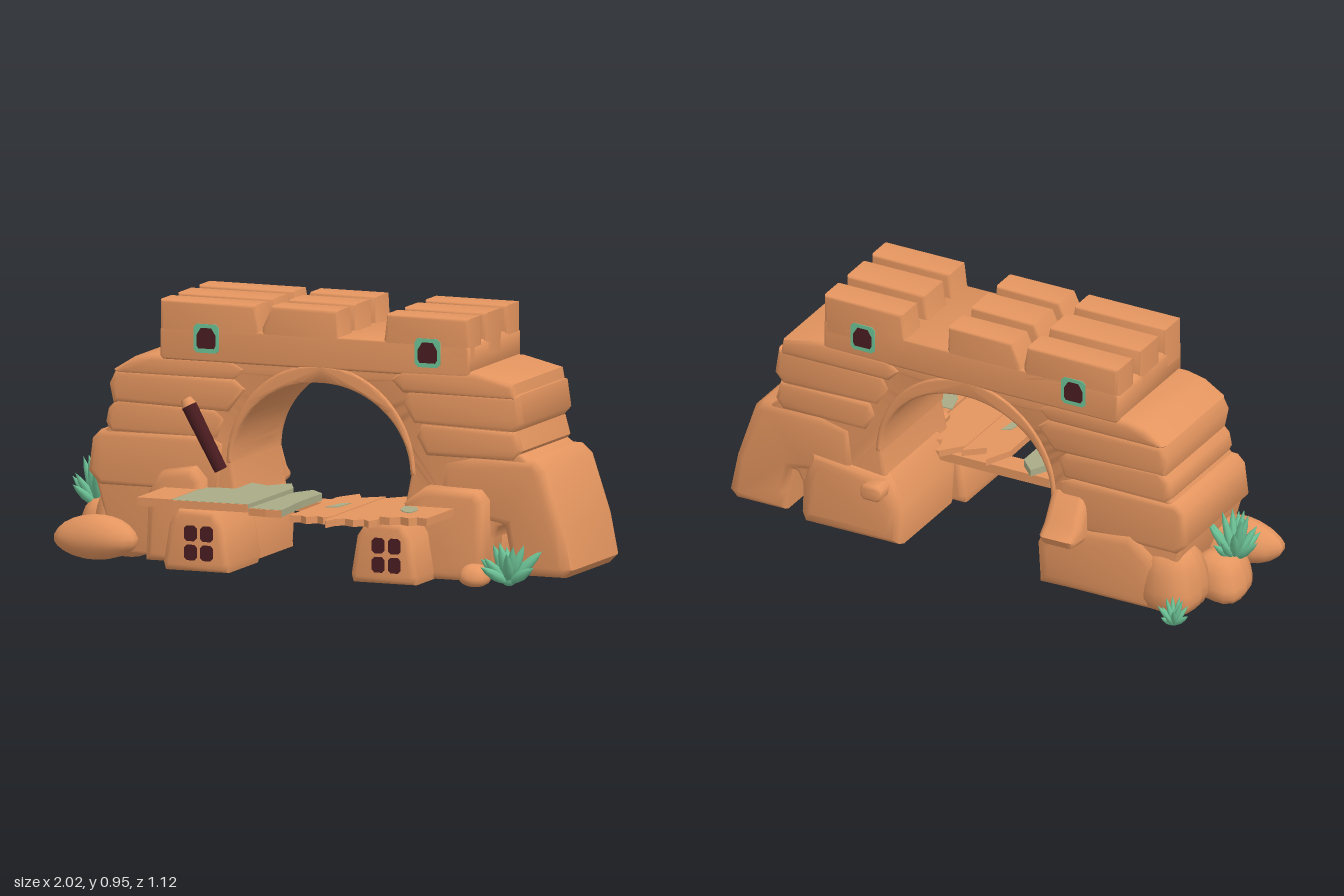
import * as THREE from 'three';
import { toCreasedNormals } from 'three/addons/utils/BufferGeometryUtils.js';

const material = (name, color) => {
  const m = new THREE.MeshStandardMaterial({ color });
  m.name = name;
  return m;
};

export function createModel() {
  const model = new THREE.Group();
  model.name = 'ruinedArch';
  const sandstone = material('sandstone', 0xe4955f);
  const dark = material('darkMaroon', 0x4a1c20);
  const leaf = material('leafGreen', 0x6cc296);
  const cloth = material('paleGreen', 0xa9aa86);

  const add = (name, geometry, mat, parent = model) => {
    const mesh = new THREE.Mesh(geometry, mat);
    mesh.name = name;
    parent.add(mesh);
    return mesh;
  };
  const shapeOf = (pts) => new THREE.Shape(pts.map(([x, y]) => new THREE.Vector2(x, y)));

  // Softly bevelled block cut from a front outline, between two depths
  const slab = (name, outline, z0, z1, bevel = 0.02, mat = sandstone) => {
    const shape = outline instanceof THREE.Shape ? outline : shapeOf(outline);
    const geo = new THREE.ExtrudeGeometry(shape, {
      depth: z1 - z0 - 2 * bevel, bevelEnabled: bevel > 0, bevelThickness: bevel,
      bevelSize: bevel, bevelOffset: -bevel, bevelSegments: 3, curveSegments: 28,
    });
    geo.translate(0, 0, z0 + bevel);
    return add(name, toCreasedNormals(geo, 0.9), mat);
  };
  const rect = (x0, x1, y0, y1, c = 0.012) => [
    [x0 + c, y0], [x1 - c, y0], [x1, y0 + c], [x1, y1 - c],
    [x1 - c, y1], [x0 + c, y1], [x0, y1 - c], [x0, y0 + c],
  ];

  // Arch body, open to the ground
  const cx = 0.035, cy = 0.36;
  const body = new THREE.Shape();
  body.moveTo(-0.26, 0);
  body.lineTo(-0.29, 0.24);
  body.lineTo(cx - 0.345, cy);
  body.absellipse(cx, cy, 0.345, 0.31, Math.PI, 0, true);
  [[0.355, 0.24], [0.32, 0], [0.67, 0.01], [0.7, 0.04], [0.7, 0.15], [0.72, 0.19], [0.78, 0.22],
    [0.84, 0.43], [0.77, 0.48], [0.77, 0.7], [0.6, 0.73], [0.59, 0.82], [-0.57, 0.82], [-0.58, 0.71],
    [-0.68, 0.7], [-0.76, 0.64], [-0.77, 0.48], [-0.83, 0.42], [-0.84, 0.28], [-0.79, 0.1],
    [-0.74, 0.01]].forEach(([x, y]) => body.lineTo(x, y));
  slab('archBody', body, -0.363, 0.093, 0.014);

  // Raised rim around the opening, thinning out towards its feet
  const rim = new THREE.Shape();
  rim.absellipse(cx, cy, 0.365, 0.375, 0, Math.PI, false);
  rim.lineTo(cx - 0.345, cy);
  rim.absellipse(cx, cy, 0.345, 0.31, Math.PI, 0, true);
  slab('archRim', rim, -0.37, 0.1, 0.009);

  // Weathered stone courses of the two pillars
  const courses = [
    [[-0.82, 0.25], [-0.36, 0.25], [-0.34, 0.43], [-0.4, 0.455], [-0.82, 0.45], [-0.85, 0.42], [-0.865, 0.3]],
    [[-0.78, 0.44], [-0.36, 0.44], [-0.33, 0.52], [-0.37, 0.555], [-0.75, 0.57], [-0.79, 0.53], [-0.8, 0.48]],
    [[-0.77, 0.55], [-0.32, 0.54], [-0.25, 0.63], [-0.3, 0.67], [-0.76, 0.67], [-0.785, 0.62]],
    [[-0.75, 0.65], [-0.3, 0.65], [-0.25, 0.7], [-0.32, 0.74], [-0.62, 0.735], [-0.69, 0.72], [-0.77, 0.67]],
    [[0.44, 0.43], [0.78, 0.43], [0.81, 0.47], [0.79, 0.54], [0.42, 0.55], [0.4, 0.5]],
    [[0.39, 0.54], [0.78, 0.53], [0.815, 0.57], [0.8, 0.67], [0.37, 0.67], [0.34, 0.62]],
    [[0.35, 0.65], [0.79, 0.65], [0.78, 0.71], [0.63, 0.745], [0.35, 0.74], [0.3, 0.7]],
  ];
  courses.forEach((c, i) => slab('stoneCourse' + (i + 1), c, -0.372 + (i % 2) * 0.004, 0.102 - (i % 2) * 0.004, 0.022));
  slab('outerBoulder', [[0.77, 0.02], [0.97, 0.02], [1, 0.05], [0.97, 0.2], [0.9, 0.41], [0.86, 0.445],
    [0.62, 0.45], [0.5, 0.42], [0.48, 0.24], [0.68, 0.2], [0.74, 0.19], [0.757, 0.1]], -0.37, 0.1, 0.035);

  // Battlements: a solid band with three by three teeth
  slab('battlementBand', rect(-0.585, 0.61, 0.72, 0.84), -0.37, 0.1, 0.008);
  const teeth = [
    [[-0.585, 0.78], [-0.2, 0.78], [-0.2, 0.86], [-0.215, 0.935], [-0.585, 0.935]],
    [[-0.2, 0.78], [0.13, 0.78], [0.11, 0.84], [0.105, 0.935], [-0.155, 0.935], [-0.19, 0.86]],
    [[0.26, 0.78], [0.61, 0.78], [0.61, 0.935], [0.29, 0.935], [0.28, 0.85]],
  ];
  for (const tooth of teeth)
    for (const [z0, z1] of [[-0.018, 0.1], [-0.203, -0.06], [-0.37, -0.25]])
      slab('battlementTooth', tooth, z0, z1, 0.014);

  // Small windows on front and back
  const plate = (name, pts, z, mat) => slab(name, pts, z - 0.002, z + 0.002, 0, mat);
  for (const x of [-0.405, 0.45])
    for (const [z, s] of [[0.1, 1], [-0.37, -1]]) {
      plate('windowFrame', rect(x - 0.049, x + 0.049, 0.752, 0.856, 0.012), z + s * 0.001, leaf);
      plate('windowOpening', [[x - 0.03, 0.768], [x + 0.03, 0.768], [x + 0.037, 0.78], [x + 0.037, 0.815],
        [x + 0.02, 0.842], [x - 0.02, 0.842], [x - 0.037, 0.815], [x - 0.037, 0.78]], z + s * 0.003, dark);
    }

  // Deck supports with four dark panes each
  for (const x of [-0.35, 0.375]) {
    slab('deckSupport', [[x - 0.12, 0], [x + 0.12, 0], [x + 0.128, 0.03], [x + 0.105, 0.17], [x + 0.07, 0.222],
      [x - 0.07, 0.222], [x - 0.105, 0.17], [x - 0.128, 0.03]], 0.02, 0.335, 0.025);
    for (const dx of [-0.022, 0.04])
      for (const y of [0.07, 0.139]) {
        const px = x + dx + 0.005;
        plate('supportPane', rect(px - 0.024, px + 0.024, y - 0.028, y + 0.028, 0.01), 0.336, dark);
      }
  }

  // Ledges and footings around the legs
  slab('leftLedge', [[-0.62, 0], [-0.4, 0], [-0.4, 0.3], [-0.44, 0.345], [-0.56, 0.325], [-0.61, 0.25]], 0, 0.165, 0.03);
  slab('rightLedge', [[0.4, 0], [0.66, 0], [0.69, 0.06], [0.69, 0.29], [0.66, 0.325], [0.46, 0.33], [0.38, 0.27]], 0, 0.17, 0.03);
  slab('rightFooting', [[0.3, 0.0], [0.69, 0], [0.705, 0.04], [0.7, 0.16], [0.66, 0.3], [0.36, 0.27], [0.29, 0.16]], -0.388, 0.06, 0.05);
  slab('leftFooting', [[-0.74, 0], [-0.26, 0], [-0.25, 0.16], [-0.3, 0.25], [-0.64, 0.3], [-0.76, 0.2]], -0.385, 0.06, 0.05);
  slab('rearStub', rect(0.345, 0.43, 0.19, 0.25, 0.015), -0.435, -0.3, 0.012);
  // Sloping rear outcrop, outlined in the depth direction
  slab('rearOutcrop', [[0.3, 0.2], [0.46, 0.22], [0.475, 0.25], [0.43, 0.29], [0.37, 0.39], [0.3, 0.4]], -0.46, -0.31, 0.03)
    .rotation.y = Math.PI / 2;

  // Deck planks with splintered ends, outlined from above as x and z
  const plank = (name, pts, y0, y1, mat = sandstone) => {
    const geo = new THREE.ExtrudeGeometry(shapeOf(pts.map(([x, z]) => [x, -z])), { depth: y1 - y0, bevelEnabled: false });
    geo.rotateX(-Math.PI / 2).translate(0, y0, 0);
    add(name, geo, mat);
  };
  plank('leftDeckBoard', [[-0.54, 0.415], [-0.54, 0.11], [-0.41, 0.08], [-0.41, 0.415]], 0.24, 0.27);
  plank('leftDeckPanel', [[-0.41, 0.412], [-0.41, 0.05], [-0.3, -0.06], [-0.22, -0.02], [-0.16, -0.1],
    [-0.11, 0.0], [-0.115, 0.405], [-0.3, 0.412]], 0.241, 0.269, cloth);
  plank('leftDeckEdge', [[-0.41, 0.418], [-0.41, 0.41], [-0.115, 0.403], [-0.115, 0.411]], 0.24, 0.268);
  plank('innerDeckPanel', [[-0.108, 0.405], [-0.1, 0.02], [-0.06, -0.06], [0.0, 0.0], [0.0, 0.2], [0.017, 0.412],
    [-0.04, 0.415]], 0.231, 0.257, cloth);
  plank('innerDeckEdge', [[-0.11, 0.413], [-0.108, 0.404], [-0.04, 0.414], [0.017, 0.411], [0.02, 0.418], [-0.04, 0.422]], 0.23, 0.256);
  plank('rightDeckBoardA', [[0.08, 0.49], [0.075, 0.04], [0.12, -0.06], [0.16, 0.02], [0.23, -0.04], [0.23, 0.45],
    [0.21, 0.49], [0.18, 0.47], [0.15, 0.505], [0.12, 0.48]], 0.228, 0.254);
  plank('rightDeckBoardB', [[0.234, 0.53], [0.234, 0.0], [0.3, -0.08], [0.33, 0.0], [0.407, -0.05], [0.405, 0.46],
    [0.39, 0.5], [0.36, 0.47], [0.33, 0.5], [0.29, 0.48], [0.262, 0.5], [0.25, 0.56]], 0.228, 0.253);
  plank('rightDeckBoardC', [[0.407, 0.44], [0.41, 0.02], [0.58, 0.08], [0.58, 0.42], [0.54, 0.41], [0.52, 0.44],
    [0.48, 0.42], [0.45, 0.45]], 0.234, 0.262);
  plank('deckMossA', [[0.13, 0.28], [0.15, 0.18], [0.18, 0.16], [0.17, 0.26]], 0.253, 0.257, cloth);
  plank('deckMossB', [[0.42, 0.28], [0.4, 0.2], [0.45, 0.2], [0.48, 0.26], [0.48, 0.33], [0.45, 0.32]], 0.261, 0.265, cloth);
  plank('deckMossC', [[0.4, 0.1], [0.45, 0.09], [0.43, 0.125]], 0.261, 0.265, leaf);
  add('crossBeam', new THREE.BoxGeometry(0.66, 0.035, 0.09).translate(0.03, 0.213, 0.0), sandstone);

  // Leaning log with pale cut ends
  const log = new THREE.Group();
  log.name = 'leaningLog';
  add('logBark', new THREE.CylinderGeometry(0.028, 0.024, 0.255, 10), dark, log);
  add('logCutEnd', new THREE.CylinderGeometry(0.02, 0.028, 0.028, 10).translate(0, 0.141, 0), sandstone, log);
  log.position.set(-0.402, 0.45, 0.12);
  log.rotation.z = 0.5;
  model.add(log);

  // Loose rocks
  const rock = (name, x, y, z, rx, ry, rz, seed, boxy = 3.5) => {
    const geo = new THREE.SphereGeometry(1, 18, 12);
    const p = geo.attributes.position;
    const v = new THREE.Vector3();
    for (let i = 0; i < p.count; i++) {
      v.fromBufferAttribute(p, i);
      const k = Math.pow(Math.abs(v.x) ** boxy + Math.abs(v.y) ** boxy + Math.abs(v.z) ** boxy, -1 / boxy);
      v.multiplyScalar(k * (0.95 + 0.06 * Math.sin(3 * v.x + seed) * Math.cos(2 * v.z + 2 * v.y + seed)));
      p.setXYZ(i, v.x * rx * (1 - 0.25 * v.y), v.y * ry, v.z * rz * (1 - 0.2 * v.y));
    }
    geo.computeVertexNormals();
    add(name, geo, sandstone).position.set(x, y, z);
  };
  rock('frontRock', -0.805, 0.078, 0.155, 0.165, 0.085, 0.085, 5, 2);
  rock('sideRock', -0.75, 0.13, 0.0, 0.11, 0.14, 0.1, 1);
  rock('rearRock', -0.77, 0.13, -0.29, 0.11, 0.13, 0.11, 2);
  rock('outerRock', -0.875, 0.09, -0.13, 0.1, 0.09, 0.1, 3);
  rock('pebble', 0.695, 0.042, 0.25, 0.056, 0.042, 0.06, 4, 2.4);

  // Spiky grass tufts of leaf-shaped blades
  const profile = [[0.007, 0], [0.017, 0.3], [0.019, 0.5], [0.012, 0.78], [0, 1]].map(([r, h]) => new THREE.Vector2(r, h));
  const tuft = (x, y, z, radius, height, count) => {
    const g = new THREE.Group();
    g.name = 'grassTuft';
    const girth = radius / 0.115;
    for (let i = 0; i < count; i++) {
      const inner = i % 3 === 0;
      const reach = radius * (inner ? 0.5 : 0.95 + 0.12 * Math.sin(i * 5));
      const a = i * 2.4;
      const top = height * (inner ? 1 : 0.66 + 0.2 * Math.sin(i * 3));
      const tip = new THREE.Vector3(Math.cos(a) * reach, top, Math.sin(a) * reach);
      const blade = add('grassBlade', new THREE.LatheGeometry(profile, 7), leaf, g);
      blade.scale.set(girth, tip.length(), girth);
      blade.quaternion.setFromUnitVectors(new THREE.Vector3(0, 1, 0), tip.normalize());
    }
    add('grassRoot', new THREE.SphereGeometry(0.026 * girth, 10, 8).translate(0, 0.015, 0), leaf, g);
    g.position.set(x, y, z);
    model.add(g);
  };
  tuft(0.84, 0.025, 0.28, 0.115, 0.14, 15);
  tuft(-0.915, 0.14, -0.11, 0.1, 0.18, 15);
  tuft(-0.885, 0.052, -0.505, 0.062, 0.1, 11);

  return model;
}
